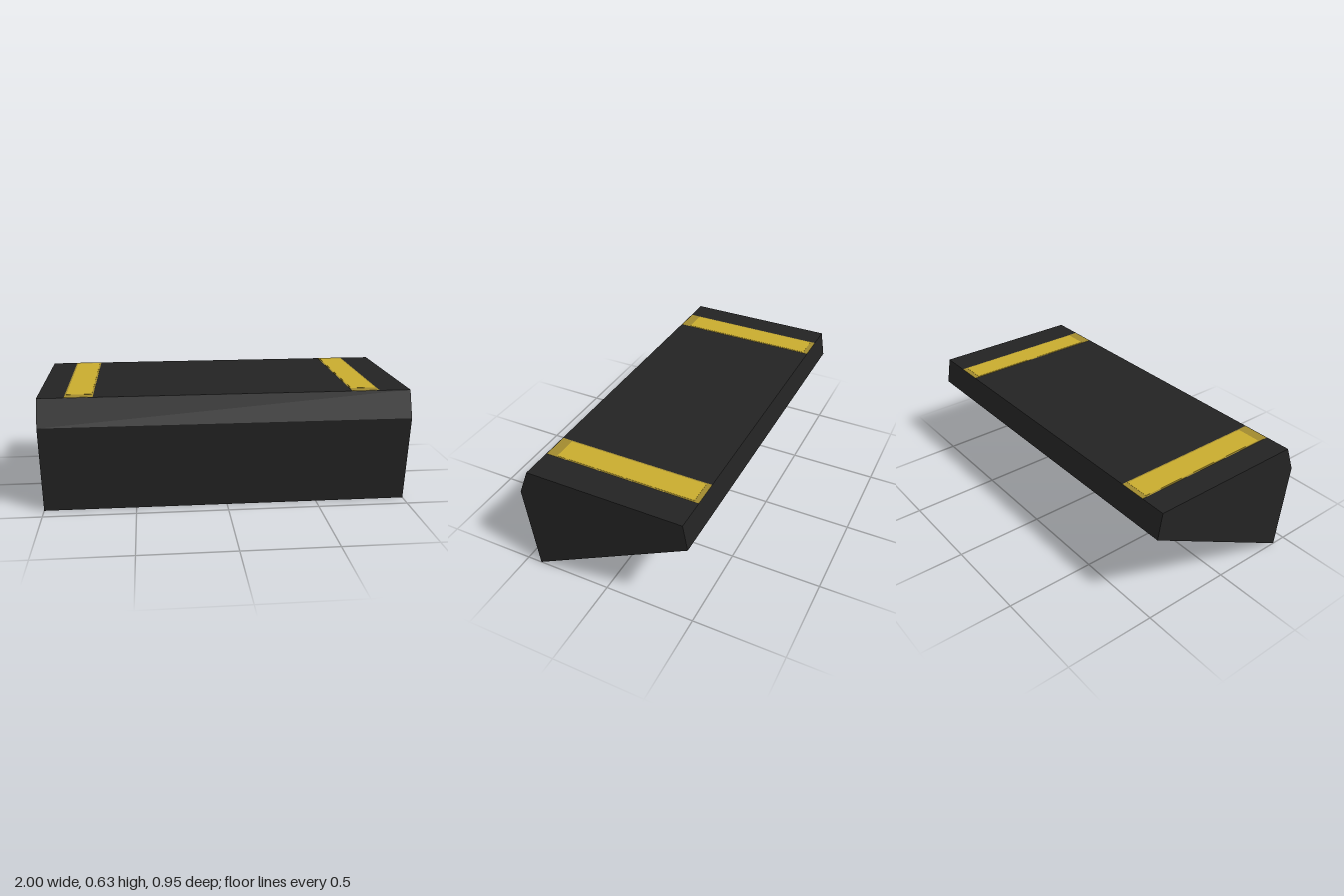
import * as THREE from 'three';

export function createModel() {
  const model = new THREE.Group();
  const black = new THREE.MeshStandardMaterial({ color: 0x232323 });
  black.name = 'black';
  const gold = new THREE.MeshStandardMaterial({ color: 0xc8ab2e });
  gold.name = 'gold';
  const darkGold = new THREE.MeshStandardMaterial({ color: 0xa18a2e });
  darkGold.name = 'dark gold';

  const TOP = 0.63;

  // Wedge body: side profile as [z, y], extruded across the width
  const profile = [[0.417, 0], [-0.475, 0.485], [-0.449, TOP], [0.417, TOP], [0.475, 0.485]];
  const shape = new THREE.Shape(profile.map(([z, y]) => new THREE.Vector2(-z, y)));
  const bodyGeometry = new THREE.ExtrudeGeometry(shape, { depth: 2, bevelEnabled: false });
  bodyGeometry.rotateY(Math.PI / 2).translate(-1, 0, 0);
  const body = new THREE.Mesh(bodyGeometry, black);
  body.name = 'wedgeBody';
  model.add(body);

  // Thin painted plate lying on the top face
  function plate(name, x, width, zBack, zFront, thickness, material) {
    const mesh = new THREE.Mesh(new THREE.BoxGeometry(width, thickness, zFront - zBack), material);
    mesh.position.set(x, TOP + thickness / 2, (zBack + zFront) / 2);
    mesh.name = name;
    model.add(mesh);
  }

  // Stripes: darker border with a bright centre
  for (const [side, x] of [['right', -0.784], ['left', 0.754]]) {
    plate(side + 'StripeBorder', x, 0.15, -0.449, 0.412, 0.001, darkGold);
    plate(side + 'Stripe', x, 0.134, -0.422, 0.355, 0.002, gold);
  }

  return model;
}
